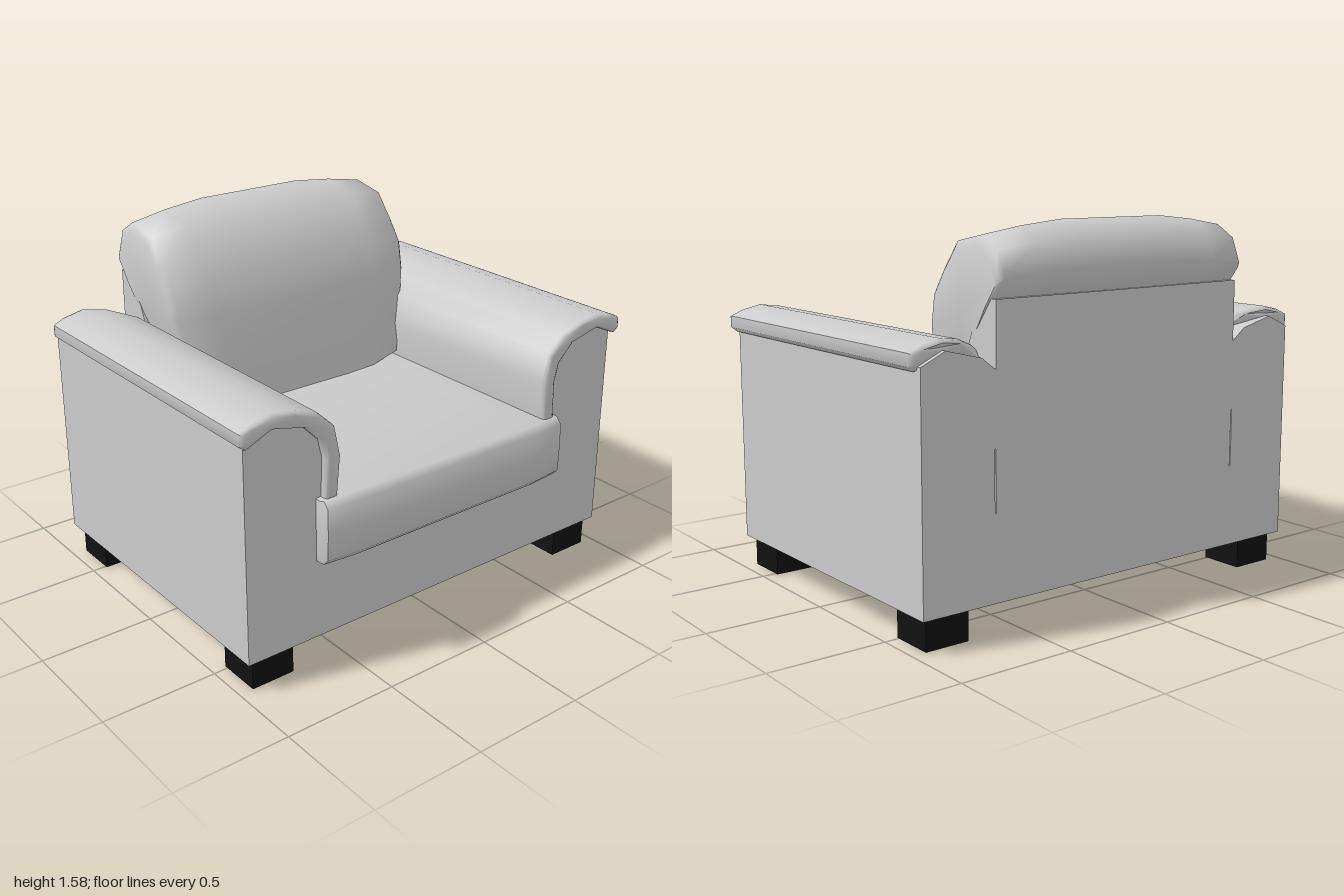
import * as THREE from 'three';
import { toCreasedNormals } from 'three/addons/utils/BufferGeometryUtils.js';

const fabric = new THREE.MeshStandardMaterial({ color: 0xcccccc });
const legPaint = new THREE.MeshStandardMaterial({ color: 0x111111 });

const toShape = (points) => new THREE.Shape(points.map(([x, y]) => new THREE.Vector2(x, y)));
const mirrorX = (points) => points.map(([x, y]) => [-x, y]).reverse();

// Joins closed [z, y] rings placed along x and closes both ends.
function loft(rings) {
  const positions = [], index = [];
  const n = rings[0].length;
  rings.forEach((ring) => ring.forEach((p) => positions.push(...p)));
  for (let i = 0; i < rings.length - 1; i++) {
    for (let j = 0; j < n; j++) {
      const k = (j + 1) % n;
      const a = i * n + j, b = i * n + k, c = b + n, d = a + n;
      index.push(a, d, c, a, c, b);
    }
  }
  [0, rings.length - 1].forEach((r) => {
    const centre = positions.length / 3;
    const sum = [0, 1, 2].map((q) => rings[r].reduce((s, p) => s + p[q], 0) / n);
    positions.push(...sum);
    for (let j = 0; j < n; j++) {
      const a = r * n + j, b = r * n + ((j + 1) % n);
      if (r === 0) index.push(centre, a, b);
      else index.push(centre, b, a);
    }
  });
  const geometry = new THREE.BufferGeometry();
  geometry.setAttribute('position', new THREE.Float32BufferAttribute(positions, 3));
  geometry.setIndex(index);
  return geometry;
}

// Cushion: one side profile, shrunk about a centre toward each end.
function cushion(profile, stations, [cz, cy], narrow = () => 1) {
  const all = [
    ...stations.map(([x, s]) => [-x, s]),
    ...[...stations].reverse(),
  ];
  return loft(all.map(([x, s]) => profile.map(([z, y]) => {
    const py = cy + (y - cy) * s;
    return [x * narrow(py), py, cz + (z - cz) * s];
  })));
}

export function createModel() {
  const model = new THREE.Group();
  const add = (name, geometry, material = fabric, crease = 0.75) => {
    const mesh = new THREE.Mesh(toCreasedNormals(geometry, crease), material);
    mesh.name = name;
    model.add(mesh);
    return mesh;
  };

  // Base and both arms as one U-shaped front outline
  const armOutline = [
    [0.97, 0.135], [0.97, 1.08], [0.86, 1.13], [0.7, 1.09],
    [0.61, 1.02], [0.59, 0.92], [0.6, 0.75], [0.64, 0.74], [0.64, 0.49],
  ];
  const body = new THREE.ExtrudeGeometry(
    toShape([...armOutline, ...mirrorX(armOutline)]),
    { depth: 1.425, bevelEnabled: false },
  );
  body.translate(0, 0, -0.72);
  add('baseAndArms', body);

  // Back wall, sloping at the top behind the cushion
  const wall = new THREE.ExtrudeGeometry(
    toShape([[0.72, 0.4], [0.72, 1.3], [0.67, 1.3], [0.57, 1.17], [0.5, 1.0], [0.5, 0.4]]),
    { depth: 1.27, bevelEnabled: false },
  );
  wall.translate(0, 0, -0.635);
  wall.rotateY(Math.PI / 2);
  // local x now runs toward -z
  add('backWall', wall);

  // Padded strips wrapped over the arms, rounded off at the rear inner corner
  const padOutline = [
    [0.975, 1.06], [1.0, 1.08], [1.0, 1.13], [0.95, 1.152], [0.86, 1.172],
    [0.76, 1.158], [0.65, 1.12], [0.575, 1.05], [0.547, 0.92], [0.562, 0.745],
    [0.62, 0.745], [0.615, 0.92], [0.635, 1.0], [0.71, 1.075], [0.86, 1.11],
  ];
  for (const [name, outline] of [['leftArmPad', padOutline], ['rightArmPad', mirrorX(padOutline)]]) {
    const pad = new THREE.ExtrudeGeometry(toShape(outline), {
      depth: 1.4, bevelThickness: 0.02, bevelSize: 0.015, bevelOffset: -0.015, bevelSegments: 2,
    });
    pad.translate(0, 0, -0.68);
    const p = pad.attributes.position;
    for (let i = 0; i < p.count; i++) {
      if (p.getZ(i) > 0) continue;
      const k = THREE.MathUtils.clamp((0.87 - Math.abs(p.getX(i))) / 0.22, 0, 1);
      p.setZ(i, p.getZ(i) + 0.1 * k * k);
    }
    add(name, pad, fabric, 0.9);
  }

  // Seat cushion with softened edges and a slightly bowed front
  add('seatCushion', cushion(
    [[0.755, 0.478], [0.78, 0.505], [0.782, 0.62], [0.78, 0.73], [0.755, 0.757], [-0.52, 0.757], [-0.52, 0.478]],
    [[0.643, 0.965], [0.635, 0.985], [0.48, 1]],
    [0, 0.617],
  ), fabric, 0.9);

  // Leaning back cushion, narrower where it sits between the arms
  add('backCushion', cushion(
    [
      [-0.19, 0.74], [-0.22, 1.0], [-0.255, 1.17], [-0.29, 1.32], [-0.37, 1.435], [-0.46, 1.545],
      [-0.64, 1.58], [-0.74, 1.52], [-0.785, 1.405], [-0.7, 1.29], [-0.6, 1.15], [-0.5, 0.74],
    ],
    [[0.643, 0.8], [0.622, 0.89], [0.45, 0.955], [0.26, 1]],
    [-0.5, 1.15],
    (y) => THREE.MathUtils.clamp(0.88 + (y - 0.85) * 0.35, 0.88, 1),
  ), fabric, 1.1);

  // Four block legs
  for (const [sideName, x] of [['Left', 0.84], ['Right', -0.84]]) {
    for (const [endName, z] of [['front', 0.582], ['rear', -0.588]]) {
      const leg = add(`${endName}${sideName}Leg`, new THREE.BoxGeometry(0.195, 0.14, 0.195), legPaint);
      leg.position.set(x, 0.07, z);
    }
  }
  return model;
}
